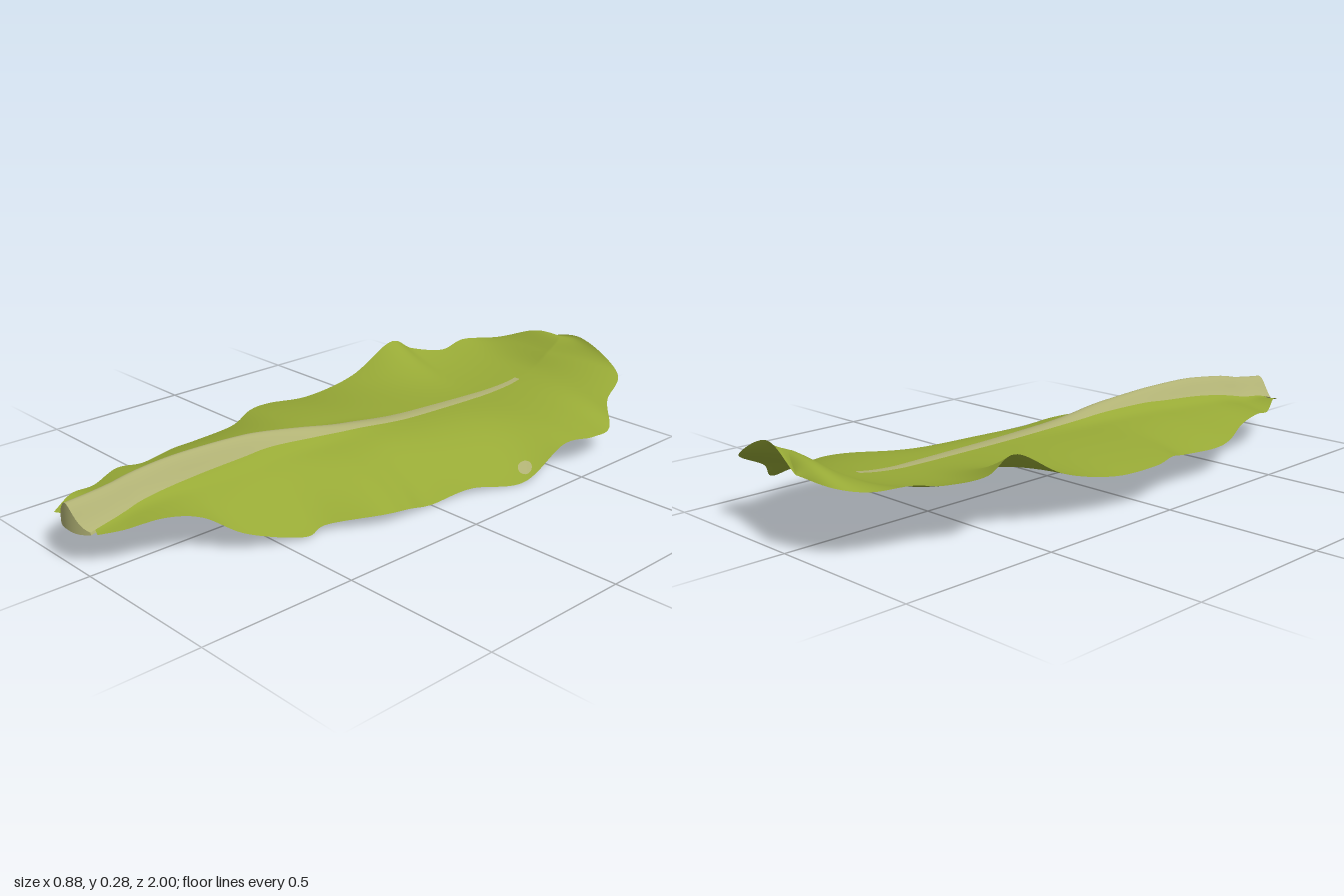
import * as THREE from 'three';

const leafGreen = new THREE.MeshStandardMaterial({ color: 0x97a936, side: THREE.DoubleSide });
leafGreen.name = 'leafGreen';
const paleRib = new THREE.MeshStandardMaterial({ color: 0xb0b174, side: THREE.DoubleSide });
paleRib.name = 'paleRib';

// Smooth curve through a flat list of x, y, z
function curve(list) {
  const points = [];
  for (let i = 0; i < list.length; i += 3) points.push(new THREE.Vector3(list[i], list[i + 1], list[i + 2]));
  return new THREE.CatmullRomCurve3(points, false, 'catmullrom', 0.5);
}

// Smooth sheet of rows x cols cells; at(v, t) gives each point, v in 0..1 and t in -1..1
function sheet(rows, cols, at) {
  const points = [], index = [];
  for (let i = 0; i <= rows; i++)
    for (let j = 0; j <= cols; j++) points.push(at(i / rows, (j / cols) * 2 - 1));
  for (let i = 0; i < rows; i++)
    for (let j = 0; j < cols; j++) {
      const a = i * (cols + 1) + j, c = a + cols + 1;
      index.push(a, a + 1, c, a + 1, c + 1, c);
    }
  const geometry = new THREE.BufferGeometry().setFromPoints(points);
  geometry.setIndex(index);
  geometry.computeVertexNormals();
  return geometry;
}

// Wavy margins and the midline, running from the base (+z) to the tip (-z)
const rightMargin = curve([
  -0.2, 0.12, 0.98, -0.235, 0.14, 0.9, -0.28, 0.12, 0.8, -0.31, 0.135, 0.7, -0.32, 0.12, 0.6,
  -0.38, 0.105, 0.45, -0.395, 0.1, 0.35, -0.395, 0.11, 0.2, -0.425, 0.13, 0.1, -0.443, 0.125, 0,
  -0.415, 0.12, -0.15, -0.385, 0.16, -0.33, -0.37, 0.248, -0.5, -0.36, 0.205, -0.6, -0.305, 0.19, -0.7,
  -0.295, 0.21, -0.8, -0.25, 0.205, -0.9, -0.18, 0.215, -0.965, -0.07, 0.235, -1]);
const leftMargin = curve([
  -0.01, 0.11, 0.96, 0.03, 0.12, 0.9, 0.08, 0.14, 0.8, 0.115, 0.12, 0.7, 0.18, 0.06, 0.6,
  0.23, 0.01, 0.43, 0.235, 0.025, 0.35, 0.32, 0.037, 0.2, 0.325, 0.025, 0.1, 0.32, 0.005, 0,
  0.345, 0.02, -0.15, 0.405, 0.006, -0.33, 0.42, 0.09, -0.5, 0.437, 0.085, -0.63, 0.415, 0.078, -0.75,
  0.35, 0.14, -0.82, 0.305, 0.2, -0.93, 0.13, 0.28, -0.95, -0.07, 0.235, -1]);
const midline = curve([
  -0.1, 0.117, 0.93, -0.095, 0.128, 0.88, -0.09, 0.147, 0.8, -0.085, 0.16, 0.7, -0.075, 0.168, 0.6,
  -0.065, 0.173, 0.45, -0.055, 0.177, 0.35, -0.03, 0.171, 0.2, -0.02, 0.166, 0.1, -0.01, 0.163, 0,
  0.01, 0.155, -0.15, 0.02, 0.15, -0.33, 0.027, 0.146, -0.5, 0.03, 0.146, -0.6, 0.035, 0.155, -0.7,
  0.035, 0.178, -0.8, 0.045, 0.225, -0.87, 0.04, 0.267, -0.94, -0.07, 0.235, -1]);
const margin = t => (t < 0 ? rightMargin : leftMargin);

// Blade: a ridge along the midline, and ripples that grow towards the margins
function bladePoint(v, t) {
  const w = Math.abs(t), mid = midline.getPoint(v), edge = margin(t).getPoint(v);
  const p = mid.clone().lerp(edge, w);
  const ridge = 0.06 * (1 - THREE.MathUtils.smoothstep(v, 0.2, 0.6));
  p.y = mid.y + (edge.y - mid.y) * Math.pow(w, 1.2 + 2 * v);
  p.y += ridge * Math.exp(-Math.pow((p.x - mid.x) / 0.046, 2)) * (1 - w * w);
  return p;
}

// Rib strip lying on the blade, reaching past its base
function ribPoint(v, t, halfWidth, lift) {
  const mid = midline.getPoint(v), reach = Math.abs(margin(t).getPoint(v).x - mid.x);
  const p = bladePoint(v, (t * halfWidth) / reach);
  p.z = mid.z + 0.07 * Math.max(0, 1 - v / 0.08) * (1 - 0.4 * t * t);
  p.y += lift;
  return p;
}

// Narrow tapering upper face
const ribTop = (r, t) =>
  ribPoint(0.79 * r, t, 0.075 - 0.064 * Math.pow(r, 0.8), 0.003 + 0.008 * (1 - r) * (1 - t * t));

// Broad lower face that fills the ridge at the base and is round at the far end
function ribBottom(r, t) {
  const fill = 0.06 * Math.pow(1 - r, 1.5) * Math.exp(-2.4 * t * t) * (1 - 0.6 * t * t);
  return ribPoint(0.755 * r, t, (0.075 - 0.02 * r) * Math.sqrt(1.0001 - Math.pow(r, 12)),
    -0.003 - fill - 0.005 * (1 - t * t));
}

export function createModel() {
  const leaf = new THREE.Group();
  leaf.name = 'leaf';
  const add = (name, geometry, material) => {
    const mesh = new THREE.Mesh(geometry, material);
    mesh.name = name;
    leaf.add(mesh);
  };

  add('blade', sheet(200, 96, bladePoint), leafGreen);

  // Midrib faces and the cut end between them
  add('midribTop', sheet(120, 20, ribTop), paleRib);
  add('midribUnderside', sheet(120, 20, (r, t) => ribBottom(r, -t)), paleRib);
  add('midribCutEnd', sheet(1, 20, (k, t) => ribBottom(0, t).lerp(ribTop(0, t), 1 - k)), paleRib);

  // Small round blemish near the left margin
  add('blemish', sheet(5, 24, (k, t) => {
    const p = bladePoint(0.62 - 0.0075 * k * Math.sin(t * Math.PI), 0.925 + 0.045 * k * Math.cos(t * Math.PI));
    p.y += 0.003;
    p.x += 0.002;
    return p;
  }), paleRib);
  return leaf;
}
